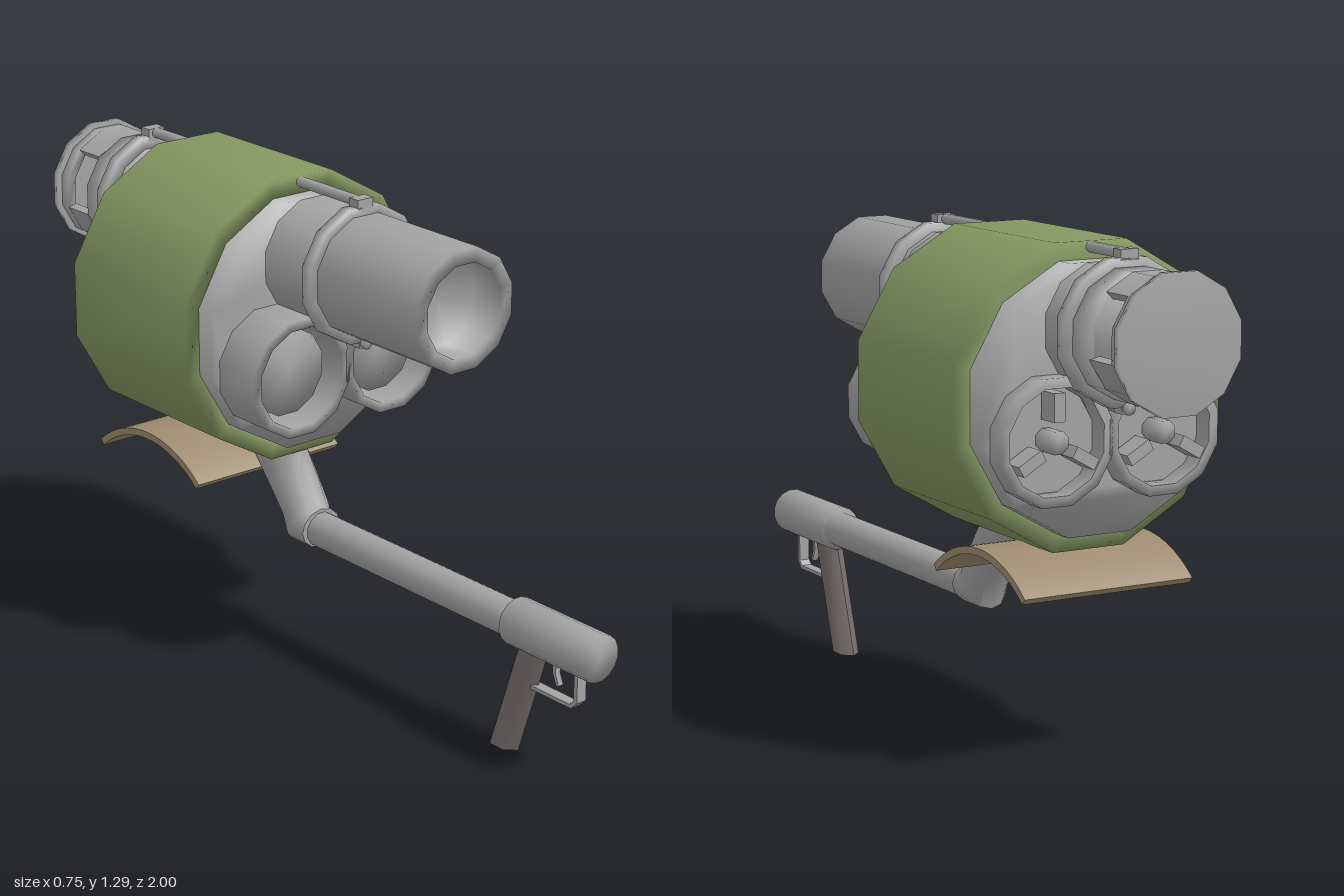
import * as THREE from 'three';
import { toCreasedNormals } from 'three/addons/utils/BufferGeometryUtils.js';

const mat = (name, color, side = THREE.FrontSide) => {
  const m = new THREE.MeshStandardMaterial({ color, side });
  m.name = name;
  return m;
};
const STEP = Math.PI / 6; // twelve-sided parts, flat side up
const CY = 0.92, TOP = 1.095, POD = [0.15, 0.835];

export function createModel() {
  const grey = mat('grey metal', 0xa3a3a3);
  const green = mat('olive green', 0x869862);
  const tan = mat('tan pad', 0x9e8c70);
  const dark = mat('dark grip', 0x7a7270);
  const model = new THREE.Group();

  const add = (name, geo, m, x = 0, y = 0, z = 0) => {
    const mesh = new THREE.Mesh(geo, m);
    mesh.name = name;
    mesh.position.set(x, y, z);
    model.add(mesh);
    return mesh;
  };
  const box = (name, m, w, h, d, x, y, z) => add(name, new THREE.BoxGeometry(w, h, d), m, x, y, z);

  // turned part along z; profile is [radius, z]
  const turned = (name, m, profile, x, y, sides = 12) => {
    const pts = profile.map(([r, z]) => new THREE.Vector2(r, z));
    const geo = new THREE.LatheGeometry(pts, sides, Math.PI / sides);
    geo.rotateX(Math.PI / 2);
    return add(name, geo, m, x, y);
  };
  const solid = (name, m, r, z0, z1, x, y, sides) =>
    turned(name, m, [[0, z0], [r, z0], [r, z1], [0, z1]], x, y, sides);
  const tube = (name, m, r, R, z0, z1, x, y) =>
    turned(name, m, [[r, z0], [R, z0], [R, z1], [r, z1], [r, z0]], x, y);

  const polygon = (cx, cy, r) => Array.from({ length: 12 }, (_, i) => {
    const a = (i + 0.5) * STEP;
    return new THREE.Vector2(cx + r * Math.cos(a), cy + r * Math.sin(a));
  });

  // outline in (z, y), extruded across x
  const across = (shape, width) => {
    const geo = new THREE.ExtrudeGeometry(shape, { depth: width, bevelEnabled: false, curveSegments: 10 });
    geo.translate(0, 0, -width / 2);
    geo.rotateY(-Math.PI / 2);
    return toCreasedNormals(geo, 0.6);
  };

  // loft through elliptical rings, each given by its front and back [z, y]
  const loft = (rings, halfWidth, sides) => {
    const pos = [], idx = [];
    rings.forEach(([f, b]) => {
      const mz = (f[0] + b[0]) / 2, my = (f[1] + b[1]) / 2;
      for (let i = 0; i < sides; i++) {
        const a = (i / sides) * Math.PI * 2, c = Math.cos(a);
        pos.push(halfWidth * Math.sin(a), my + (f[1] - my) * c, mz + (f[0] - mz) * c);
      }
    });
    for (let j = 0; j < rings.length - 1; j++) {
      for (let i = 0; i < sides; i++) {
        const a = j * sides + i, b = j * sides + (i + 1) % sides;
        idx.push(a, a + sides, b, b, a + sides, b + sides);
      }
    }
    const last = (rings.length - 1) * sides;
    for (let i = 1; i < sides - 1; i++) idx.push(last, last + i + 1, last + i);
    const geo = new THREE.BufferGeometry();
    geo.setAttribute('position', new THREE.Float32BufferAttribute(pos, 3));
    geo.setIndex(idx);
    return toCreasedNormals(geo, 0.95);
  };

  // drum: green jacket around a grey body bored for the two lower pods
  tube('jacket', green, 0.34, 0.388, -0.61, -0.13, 0, CY);
  const bodyShape = new THREE.Shape(polygon(0, 0, 0.342));
  for (const s of [-1, 1]) bodyShape.holes.push(new THREE.Path(polygon(s * POD[0], POD[1] - CY, 0.134)));
  const body = new THREE.ExtrudeGeometry(bodyShape, { depth: 0.58, bevelEnabled: false });
  const p = body.attributes.position, n = body.attributes.normal;
  const v = new THREE.Vector3();
  for (let i = 0; i < p.count; i++) { // soften the rim shading
    v.set(p.getX(i), p.getY(i), 0);
    if (v.length() < 0.335) continue;
    v.normalize().setZ(p.getZ(i) > 0.29 ? 1 : -1).normalize();
    n.setXYZ(i, v.x, v.y, v.z);
  }
  add('body', body, grey, 0, CY, -0.66);

  // lower pods: front sleeve, inner nose, rear sleeve with hub and vanes
  for (const s of [-1, 1]) {
    const [px, py] = [s * POD[0], POD[1]];
    tube('podSleeve', grey, 0.134, 0.16, -0.09, 0.06, px, py);
    solid('podNose', grey, 0.117, -0.6, 0, px, py);
    tube('rearSleeve', grey, 0.134, 0.16, -0.71, -0.65, px, py);
    const plate = new THREE.CircleGeometry(0.138, 12, STEP / 2);
    plate.rotateY(Math.PI);
    add('rearPlate', plate, grey, px, py, -0.655);
    solid('rearHub', grey, 0.03, -0.715, -0.65, px, py, 8);
    for (const deg of [-30, 90, 210]) {
      const a = THREE.MathUtils.degToRad(deg);
      const vane = box('rearVane', grey, 0.07, 0.03, 0.06,
        px + s * 0.085 * Math.cos(a), py + 0.085 * Math.sin(a), -0.69);
      vane.rotation.z = s * a;
    }
  }

  // upper barrel
  solid('barrelHousing', grey, 0.16, -0.71, 0.07, 0, TOP);
  turned('barrel', grey,
    [[0.15, 0.06], [0.16, 0.1], [0.16, 0.5], [0.122, 0.5], [0.122, 0.4], [0, 0.4]], 0, TOP);
  solid('rearNeck', grey, 0.15, -0.86, -0.7, 0, TOP);
  solid('rearCollar', grey, 0.16, -0.86, -0.78, 0, TOP);

  // slotted rear tube: two bands leave a side window left and right
  for (const [from, to] of [[1.5, 4.5], [6.5, 11.5]]) {
    const arc = (r) => Array.from({ length: to - from + 1 }, (_, i) =>
      new THREE.Vector2(r * Math.cos((from + i) * STEP), r * Math.sin((from + i) * STEP)));
    const band = new THREE.Shape([...arc(0.16), ...arc(0.135).reverse()]);
    const geo = new THREE.ExtrudeGeometry(band, { depth: 0.1, bevelEnabled: false });
    add('windowBand', toCreasedNormals(geo, 0.6), grey, 0, TOP, -0.955);
  }
  tube('rearTube', grey, 0.135, 0.16, -0.985, -0.95, 0, TOP);
  solid('rearCap', grey, 0.173, -1, -0.98, 0, TOP);

  // clamp rings joined by an upper and a lower rod
  for (const z of [0.11, -0.765]) {
    tube('clampRing', grey, 0.145, 0.183, z - 0.017, z + 0.017, 0, TOP);
    box('upperLug', grey, 0.05, 0.035, 0.034, 0, 1.275, z);
    box('lowerLug', grey, 0.035, 0.03, 0.034, 0, 0.917, z);
  }
  solid('upperRod', grey, 0.014, -0.775, 0.12, 0, 1.28, 8);
  solid('lowerRod', grey, 0.016, -0.79, 0.138, 0, 0.915, 8);

  // bent neck, long arm and handle
  add('neck', loft([
    [[-0.13, 0.6], [-0.38, 0.6]],
    [[-0.134, 0.545], [-0.34, 0.545]],
    [[-0.095, 0.48], [-0.245, 0.445]],
    [[-0.06, 0.415], [-0.17, 0.365]],
    [[-0.055, 0.41], [-0.145, 0.298]],
    [[-0.048, 0.405], [-0.05, 0.298]],
  ], 0.063, 12), grey);
  solid('arm', grey, 0.048, -0.08, 0.73, 0, 0.348, 12);
  solid('handle', grey, 0.062, 0.71, 1, 0, 0.35, 16);

  // pistol grip, trigger guard and trigger
  add('grip', loft([[[0.83, 0.32], [0.73, 0.32]], [[0.725, 0], [0.625, 0]]], 0.032, 6), dark);
  const outline = (pts) => new THREE.Shape(pts.map(([z, y]) => new THREE.Vector2(z, y)));
  add('triggerGuard', across(outline([
    [0.942, 0.3], [0.93, 0.3], [0.93, 0.217], [0.917, 0.204], [0.78, 0.204],
    [0.78, 0.194], [0.922, 0.194], [0.942, 0.214],
  ].reverse()), 0.03), grey);
  add('trigger', across(outline([
    [0.862, 0.3], [0.848, 0.3], [0.848, 0.26], [0.862, 0.228], [0.87, 0.232], [0.858, 0.262],
  ].reverse()), 0.016), grey);

  // curved shoulder rest
  const pad = new THREE.Shape();
  pad.absarc(-0.488, 0.208, 0.34, Math.PI / 2 - 0.71, Math.PI / 2 + 0.71, false);
  pad.absarc(-0.488, 0.208, 0.321, Math.PI / 2 + 0.71, Math.PI / 2 - 0.71, true);
  add('shoulderRest', across(pad, 0.475), tan);

  return model;
}
